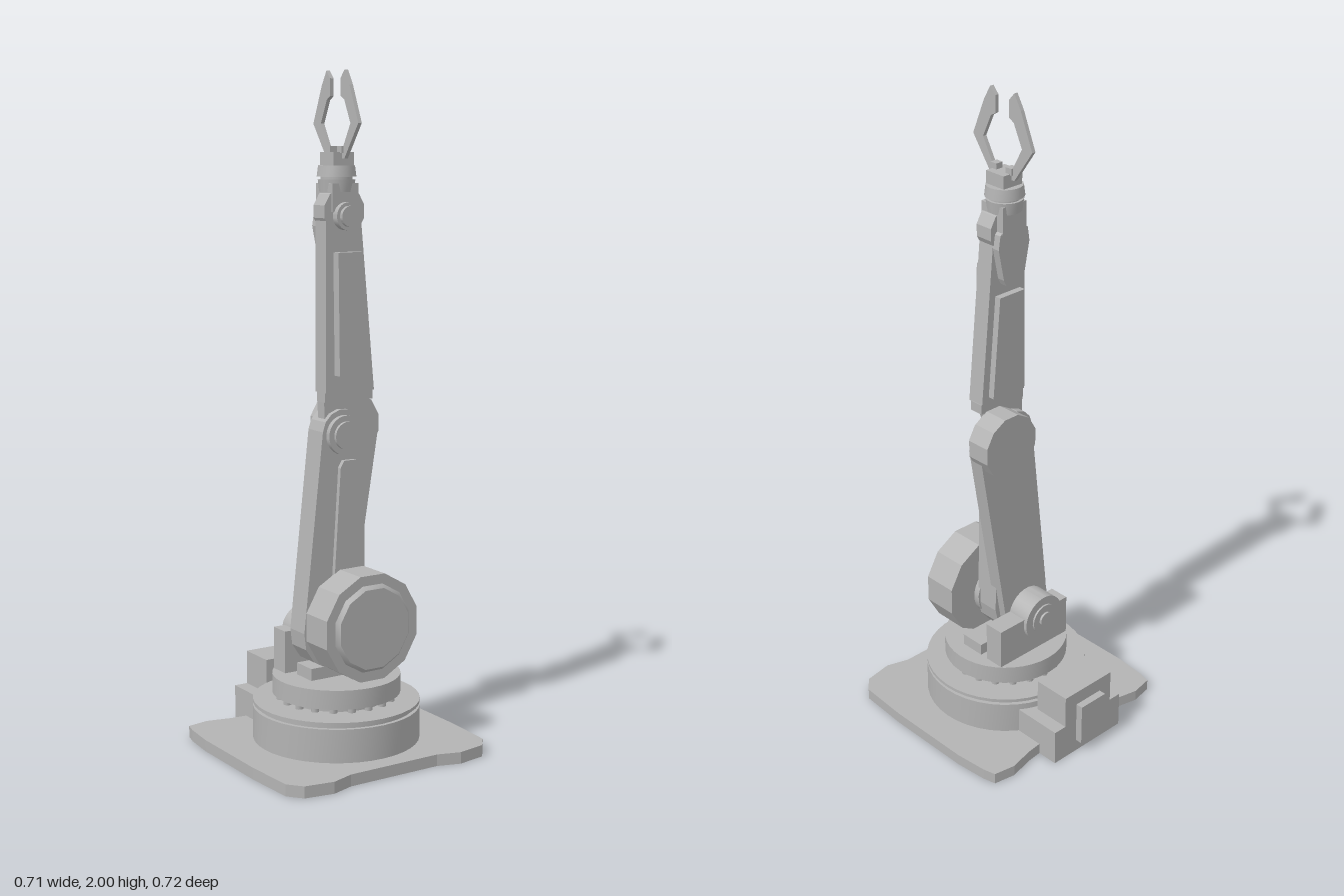
import * as THREE from 'three';
import { toCreasedNormals } from 'three/addons/utils/BufferGeometryUtils.js';

const grey = new THREE.MeshStandardMaterial({ color: 0xb3b3b3 });
grey.name = 'machine grey';

export function createModel() {
  const model = new THREE.Group();
  model.name = 'robotArm';
  const CZ = 0.028; // vertical turning axis

  const add = (name, geo) => {
    const mesh = new THREE.Mesh(geo, grey);
    mesh.name = name;
    model.add(mesh);
    return mesh;
  };
  // Box given by its limits on each axis
  const box = (name, x0, x1, y0, y1, z0, z1) =>
    add(name, new THREE.BoxGeometry(x1 - x0, y1 - y0, z1 - z0))
      .position.set((x0 + x1) / 2, (y0 + y1) / 2, (z0 + z1) / 2);
  // Upright cylinder on the turning axis
  const disc = (name, r, y0, y1, rTop = r, seg = 40) =>
    add(name, toCreasedNormals(new THREE.CylinderGeometry(rTop, r, y1 - y0, seg), 0.5))
      .position.set(0, (y0 + y1) / 2, CZ);
  // Cylinder lying along z, r at the back end and rFront at the front end
  const drum = (name, x, y, r, z0, z1, seg = 24, rFront = r) => {
    const g = new THREE.CylinderGeometry(rFront, r, z1 - z0, seg);
    g.rotateY(Math.PI / seg).rotateX(Math.PI / 2);
    add(name, toCreasedNormals(g, 0.4)).position.set(x, y, (z0 + z1) / 2);
  };
  // Plate in the xy plane between two depths
  const plate = (name, pts, z0, z1) => {
    const shape = new THREE.Shape(pts.map(p => new THREE.Vector2(p[0], p[1])));
    const g = new THREE.ExtrudeGeometry(shape, { depth: z1 - z0, bevelEnabled: false });
    add(name, g).position.z = z0;
  };
  // Outline wrapped round two circles
  const link = (x1, y1, r1, x2, y2, r2, n = 7) => {
    const a = Math.atan2(y2 - y1, x2 - x1);
    const phi = Math.acos((r1 - r2) / Math.hypot(x2 - x1, y2 - y1));
    const pts = [];
    const arc = (x, y, r, from, to) => {
      for (let i = 0; i <= n; i++) {
        const t = from + (to - from) * i / n;
        pts.push([x + r * Math.cos(t), y + r * Math.sin(t)]);
      }
    };
    arc(x2, y2, r2, a - phi, a + phi);
    arc(x1, y1, r1, a + phi, a - phi + 2 * Math.PI);
    return pts;
  };

  // Floor plate with waisted edges and a round opening below
  const half = [[0.15, 0.335], [0.22, 0.357], [0.31, 0.342], [0.345, 0.30], [0.355, 0.14],
    [0.355, -0.14], [0.345, -0.24], [0.335, -0.28], [0.267, -0.292], [0.19, -0.275], [0.14, -0.27]];
  const outline = [...half, ...half.map(([x, z]) => [-x, z]).reverse()];
  const floor = new THREE.Shape(outline.map(([x, z]) => new THREE.Vector2(x, -z)));
  floor.holes.push(new THREE.Path().absarc(0, -CZ, 0.245, 0, Math.PI * 2));
  const floorGeo = new THREE.ExtrudeGeometry(floor, { depth: 0.035, bevelEnabled: false, curveSegments: 24 });
  floorGeo.rotateX(-Math.PI / 2);
  add('basePlate', floorGeo);

  // Pedestal, groove, turntable and its bolts
  disc('pedestal', 0.25, 0.022, 0.135);
  disc('pedestalGroove', 0.238, 0.135, 0.145);
  disc('pedestalLip', 0.25, 0.145, 0.155);
  disc('turntableNeck', 0.15, 0.155, 0.175);
  disc('turntable', 0.192, 0.175, 0.232);
  for (let i = 0; i < 20; i++) {
    const t = i / 20 * Math.PI * 2;
    add('turntableBolt', new THREE.CylinderGeometry(0.012, 0.012, 0.016, 8))
      .position.set(0.172 * Math.cos(t), 0.168, CZ + 0.172 * Math.sin(t));
  }

  // Connector housing at the back
  box('connectorBase', -0.14, 0.14, 0, 0.115, -0.337, -0.18);
  box('connectorTower', -0.097, 0.097, 0.115, 0.22, -0.337, -0.217);
  box('connectorPlug', -0.05, 0.05, 0.04, 0.175, -0.36, -0.337);

  // Shoulder mount and pivot
  box('shoulderFoot', -0.115, 0.14, 0.23, 0.268, -0.01, 0.07);
  box('shoulderBlock', -0.14, 0.14, 0.23, 0.36, -0.1, -0.036);
  drum('shoulderPivot', -0.03, 0.34, 0.075, -0.112, -0.035);
  drum('shoulderPivotRing', -0.03, 0.34, 0.048, -0.118, -0.11);
  drum('shoulderPivotCap', -0.03, 0.34, 0.024, -0.125, -0.117, 16);

  // Shoulder motor
  drum('shoulderMotor', 0.02, 0.4, 0.163, 0.08, 0.19, 12);
  drum('shoulderMotorBevel', 0.02, 0.4, 0.133, 0.19, 0.202, 12, 0.122);
  drum('shoulderMotorAxle', 0.0, 0.38, 0.085, 0.06, 0.085);

  // Upper arm: front and back plates with a raised rib
  plate('upperArmFront', link(-0.03, 0.365, 0.108, -0.003, 0.96, 0.07), -0.01, 0.068);
  plate('upperArmBack', link(-0.03, 0.345, 0.088, 0.07, 0.968, 0.09), -0.036, 0.012);
  plate('upperArmRib', [[-0.045, 0.47], [0.012, 0.47], [0.05, 0.86], [0.035, 0.88], [-0.008, 0.88], [-0.02, 0.86]], 0.068, 0.082);

  // Elbow
  drum('elbowMotor', 0.07, 0.968, 0.099, -0.073, 0.004, 12);
  drum('elbowPivot', -0.003, 0.955, 0.058, 0.068, 0.084);
  drum('elbowPivotCap', -0.003, 0.955, 0.041, 0.084, 0.094);
  plate('elbowNeck', [[-0.055, 0.97], [0.06, 0.97], [0.1, 1.1], [-0.06, 1.1]], 0.016, 0.052);

  // Forearm, narrowing to the wrist, with chamfered lower end
  const foreGeo = new THREE.BoxGeometry(1, 0.52, 0.055, 1, 1, 1);
  const fp = foreGeo.attributes.position;
  for (let i = 0; i < fp.count; i++) {
    const top = fp.getY(i) > 0;
    fp.setX(i, fp.getX(i) < 0 ? -0.063 : top ? 0.055 : 0.104);
  }
  foreGeo.computeVertexNormals();
  add('forearm', foreGeo).position.set(0, 1.34, 0.042);
  box('forearmCuff', -0.06, 0.106, 1.052, 1.082, 0.016, 0.06);
  plate('forearmFrontCover', [[-0.033, 1.13], [0.058, 1.13], [0.044, 1.485], [-0.038, 1.485]], 0.069, 0.097);
  plate('forearmBackCover', [[-0.045, 1.1], [0.078, 1.1], [0.05, 1.41], [-0.045, 1.41]], -0.006, 0.015);

  // Wrist
  drum('wristHousing', 0, 1.6, 0.07, 0.012, 0.07, 12);
  drum('wristPivot', 0, 1.587, 0.04, 0.07, 0.092);
  drum('wristPivotCap', 0, 1.587, 0.03, 0.092, 0.104);
  plate('wristBackCover', link(0, 1.47, 0.04, 0, 1.57, 0.06, 5), -0.01, 0.015);
  box('wristBridge', -0.045, 0.045, 1.6, 1.68, -0.012, 0.075);
  disc('wristCollar', 0.05, 1.655, 1.69, 0.054, 24);
  disc('wristGroove', 0.046, 1.69, 1.698, 0.046, 24);
  disc('wristFlange', 0.057, 1.698, 1.73, 0.053, 24);
  box('gripperBlock', -0.035, 0.035, 1.73, 1.768, -0.005, 0.065);

  // Gripper: two mirrored claws lying in the yz plane
  const claw = [[0.022, 1.75], [0.047, 1.75], [0.117, 1.848], [0.072, 1.955], [0.047, 1.997],
    [0.027, 1.975], [0.027, 1.925], [0.045, 1.915], [0.077, 1.848]];
  for (const side of [1, -1]) {
    const pts = claw.map(([u, y]) => new THREE.Vector2(-side * u, y));
    const g = new THREE.ExtrudeGeometry(new THREE.Shape(pts), { depth: 0.012, bevelEnabled: false });
    g.rotateY(Math.PI / 2).translate(-0.006, 0, 0.031);
    add('claw', g);
    const z = 0.031 + side * 0.03;
    box('clawHinge', -0.012, 0.012, 1.765, 1.785, z - 0.012, z + 0.012);
  }
  return model;
}
